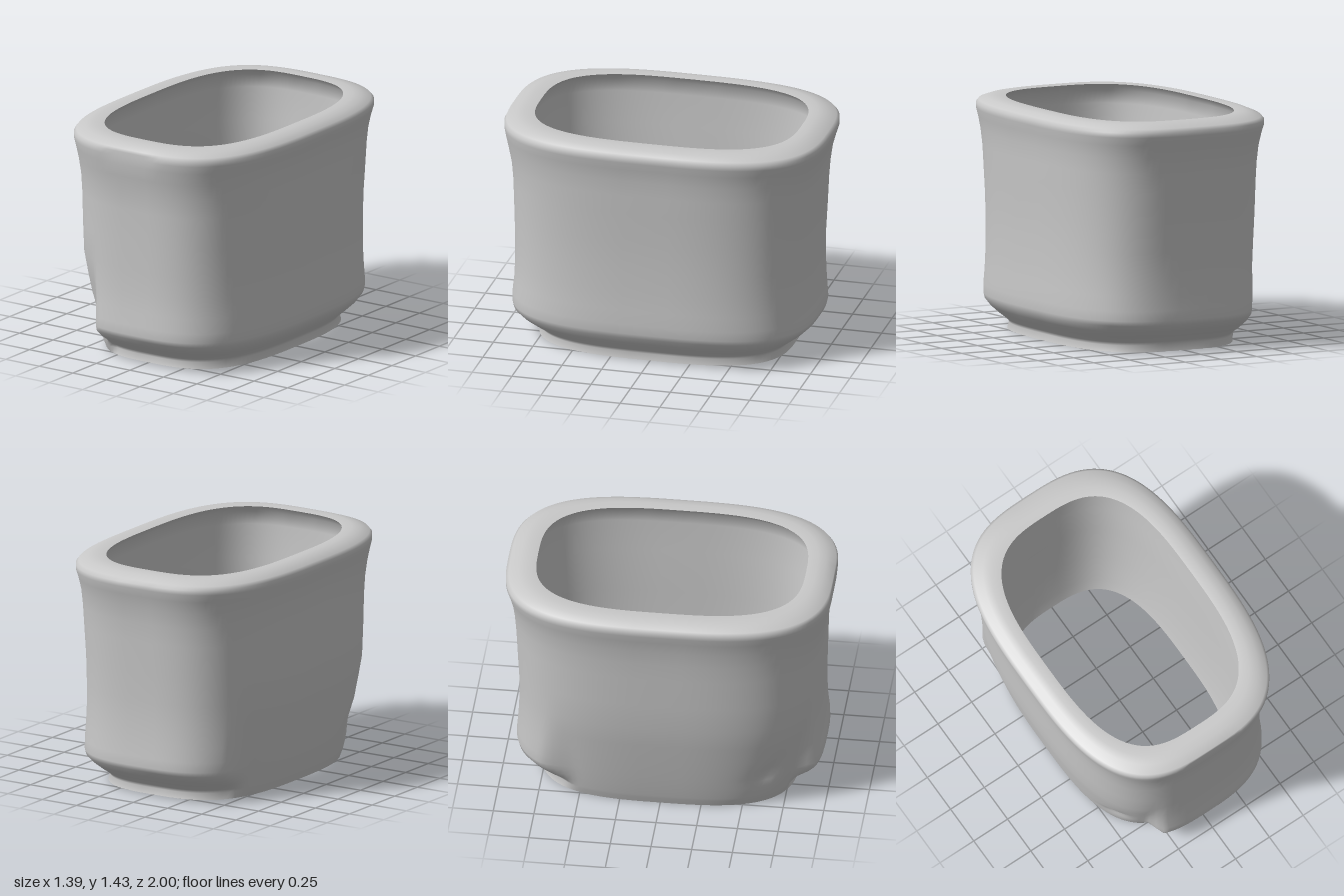
import * as THREE from 'three';

const SEGMENTS = 112;
const SQUARENESS = 3.07;

// Cross-sections: [y, reach to -x, reach to +x, reach to -z, reach to +z]
const OUTER = [
  [0, 0.54, 0.54, 0.78, 0.80], [0.04, 0.53, 0.53, 0.77, 0.79], [0.06, 0.54, 0.54, 0.78, 0.80],
  [0.10, 0.58, 0.585, 0.835, 0.86], [0.14, 0.61, 0.625, 0.885, 0.915], [0.18, 0.625, 0.65, 0.925, 0.955],
  [0.21, 0.63, 0.657, 0.932, 0.962], [0.27, 0.635, 0.658, 0.927, 0.96], [0.36, 0.64, 0.653, 0.92, 0.95],
  [0.48, 0.64, 0.648, 0.915, 0.945], [0.62, 0.645, 0.648, 0.915, 0.945], [0.80, 0.652, 0.648, 0.925, 0.95],
  [1.00, 0.656, 0.66, 0.935, 0.955], [1.12, 0.66, 0.664, 0.945, 0.965], [1.22, 0.668, 0.67, 0.96, 0.985],
  [1.30, 0.682, 0.682, 0.982, 1.002], [1.35, 0.695, 0.695, 0.998, 1.01], [1.38, 0.695, 0.695, 0.998, 1.01],
  [1.40, 0.68, 0.68, 0.98, 0.998], [1.42, 0.635, 0.64, 0.92, 0.94], [1.43, 0.59, 0.59, 0.87, 0.89],
  [1.425, 0.535, 0.535, 0.815, 0.83],
];
// The inside widens upward and tucks under the rim
const INNER = [
  [1.425, 0.535, 0.535, 0.815, 0.83], [1.38, 0.575, 0.575, 0.865, 0.875], [1.30, 0.58, 0.58, 0.875, 0.885],
  [1.10, 0.56, 0.56, 0.85, 0.86], [0.80, 0.545, 0.545, 0.83, 0.84], [0.40, 0.525, 0.525, 0.80, 0.81],
  [0.10, 0.495, 0.495, 0.755, 0.765], [0, 0.48, 0.48, 0.73, 0.74],
];

// Point on a rounded-rectangle section
function sectionPoint([y, xNeg, xPos, zNeg, zPos], angle) {
  const c = Math.cos(angle), s = Math.sin(angle);
  const p = 2 / SQUARENESS;
  const x = Math.sign(c) * Math.abs(c) ** p * (c < 0 ? xNeg : xPos);
  const z = Math.sign(s) * Math.abs(s) ** p * (s < 0 ? zNeg : zPos);
  return new THREE.Vector3(x, y, z);
}

// Outer surface: one side runs straight down to the foot, without the shoulder
function outerPoint(row, angle) {
  const point = sectionPoint(row, angle);
  const top = OUTER[10];
  if (row[0] < top[0]) {
    const foot = sectionPoint(OUTER[0], angle);
    const t = (row[0] / top[0]) ** 0.8;
    const straight = foot.clone().lerp(sectionPoint(top, angle), t);
    // the straight part reaches further round at the front than at the back
    const edge = foot.z > 0 ? -0.48 : -0.8;
    const weight = 1 - THREE.MathUtils.smoothstep(foot.x / 0.54, edge - 0.12, edge);
    point.x += (straight.x - point.x) * weight;
    point.z += (straight.z - point.z) * weight;
  }
  // small pit in the front corner
  if (point.z > 0) {
    const d = ((point.x + 0.48) / 0.04) ** 2 + ((row[0] - 0.24) / 0.07) ** 2;
    const depth = 0.03 * Math.exp(-d);
    point.x += depth * 0.5;
    point.z -= depth;
  }
  // flat patch on the front of the rim
  point.z = Math.min(point.z, 1);
  return point;
}

// Skin a list of closed sections
function loft(rows, pointAt) {
  const positions = [], indices = [];
  rows.forEach((row, i) => {
    for (let j = 0; j < SEGMENTS; j++) {
      positions.push(...pointAt(row, (j / SEGMENTS) * Math.PI * 2).toArray());
      if (i === rows.length - 1) continue;
      const next = (j + 1) % SEGMENTS;
      const a = i * SEGMENTS + j, b = i * SEGMENTS + next;
      const c = a + SEGMENTS, d = b + SEGMENTS;
      indices.push(a, c, b, b, c, d);
    }
  });
  const geometry = new THREE.BufferGeometry();
  geometry.setAttribute('position', new THREE.Float32BufferAttribute(positions, 3));
  geometry.setIndex(indices);
  geometry.computeVertexNormals();
  return geometry;
}

export function createModel() {
  const group = new THREE.Group();
  group.name = 'openVessel';
  const grey = new THREE.MeshStandardMaterial({ color: 0xc8c8c8 });
  grey.name = 'grey';

  const add = (name, geometry) => {
    const mesh = new THREE.Mesh(geometry, grey);
    mesh.name = name;
    group.add(mesh);
  };

  // Outer wall with the rolled rim, inner wall, and the flat underside of the foot
  add('outerWallAndRim', loft(OUTER, outerPoint));
  add('innerWall', loft(INNER, sectionPoint));
  add('footRing', loft([INNER[INNER.length - 1], OUTER[0]], sectionPoint));
  return group;
}
